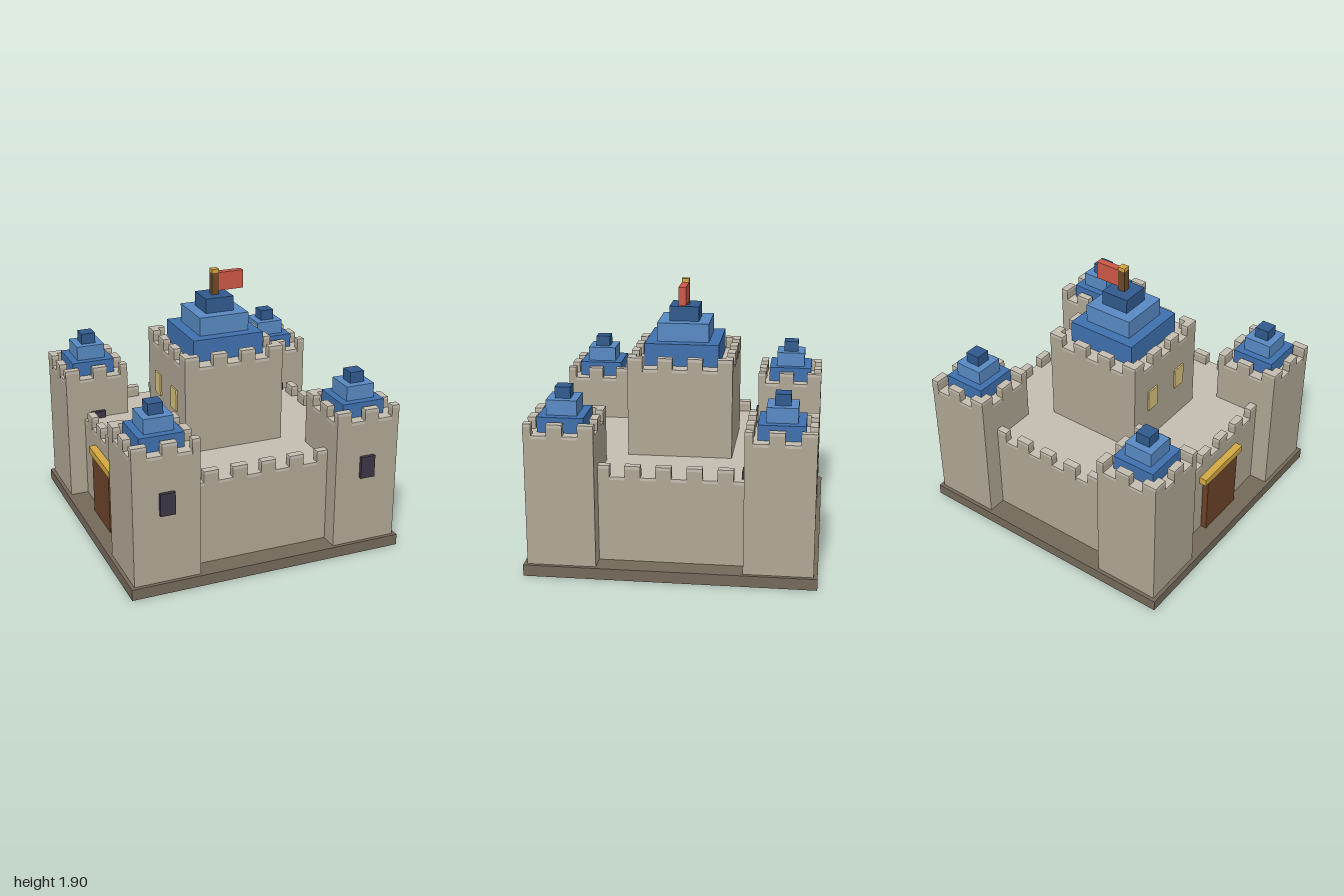
import * as THREE from 'three';

const U = 2 / 38; // building block size
const mats = {};
for (const [name, color] of Object.entries({
  earth: 0x746a5a, stone: 0xb0a794, cap: 0xc5bdb0, blue: 0x3f70ae, lightBlue: 0x588ac4,
  darkBlue: 0x305a8e, dark: 0x3d3644, wood: 0x6b4a2a, door: 0x6b4228, gold: 0xd4a843,
  red: 0xcc5848, glow: 0xd8c27c,
})) mats[name] = new THREE.MeshStandardMaterial({ color, flatShading: true });

// box given by its [min, max] range on each axis
function box(parent, name, mat, [x0, x1], [y0, y1], [z0, z1]) {
  const mesh = new THREE.Mesh(new THREE.BoxGeometry(x1 - x0, y1 - y0, z1 - z0), mats[mat]);
  mesh.position.set((x0 + x1) / 2, (y0 + y1) / 2, (z0 + z1) / 2);
  mesh.name = name;
  parent.add(mesh);
  return mesh;
}

function group(parent, name) {
  const g = new THREE.Group();
  g.name = name;
  parent.add(g);
  return g;
}

// square block of n units with a pale top course and merlons around the rim
function battlement(parent, name, cx, cz, n, y0, top) {
  const g = group(parent, name);
  const h = n * U / 2, t = 0.022, rise = 0.08, e = 0.001;
  const X = [cx - h, cx + h], Z = [cz - h, cz + h];
  box(g, 'body', 'stone', X, [y0, top - t], Z);
  box(g, 'topCourse', 'cap', X, [top - t, top], Z);
  const merlon = (x, z) => {
    const grow = ([a, b]) => [a - e, b + e];
    box(g, 'merlon', 'stone', grow(x), [top - t - e, top + rise - t], grow(z));
    box(g, 'merlonCap', 'cap', grow(x), [top + rise - t, top + rise], grow(z));
  };
  // two units solid, two units open, cut off at the far corner
  for (let i = 0; i < n; i += 4) {
    const a = i * U - h, b = Math.min(i + 2, n) * U - h;
    for (const edge of [-h, h - U]) {
      merlon([cx + a, cx + b], [cz + edge, cz + edge + U]);
      // side runs leave the corners to the front and back runs
      const s = Math.max(a, -h + U), f = Math.min(b, h - U);
      if (f - s > 0.01) merlon([cx + edge, cx + edge + U], [cz + s, cz + f]);
    }
  }
  return g;
}

// stepped roof: each step is [half width, bottom, top]
function roof(parent, cx, cz, steps) {
  const g = group(parent, 'steppedRoof');
  const colors = ['blue', 'lightBlue', 'darkBlue'];
  steps.forEach(([w, y0, y1], i) =>
    box(g, 'roofStep', colors[i], [cx - w, cx + w], [y0, y1], [cz - w, cz + w]));
}

export function createModel() {
  const castle = new THREE.Group();
  castle.name = 'castle';
  box(castle, 'base', 'earth', [-1, 1], [0, 0.08], [-1, 1]);

  // main block and keep
  battlement(castle, 'curtainWall', 0, 0, 32, 0.08, 0.687);
  const keep = battlement(castle, 'keep', 0, 0, 14, 0.687, 1.318);
  roof(keep, 0, 0, [[0.262, 1.318, 1.476], [0.184, 1.476, 1.608], [0.105, 1.608, 1.713]]);
  for (const z of [-0.16, 0.16])
    box(keep, 'keepWindow', 'glow', [-0.38, -0.36], [0.95, 1.11], [z - 0.053, z + 0.053]);

  // corner towers, each with a window on its front
  const c = 14 * U;
  for (const x of [-c, c]) for (const z of [-c, c]) {
    const tower = battlement(castle, 'cornerTower', x, z, 9, 0.08, 1.002);
    roof(tower, x, z, [[0.158, 1.002, 1.108], [0.105, 1.108, 1.213], [0.053, 1.213, 1.292]]);
    const front = z + 4.5 * U;
    box(tower, 'towerWindow', 'dark', [x - 0.053, x + 0.053], [0.58, 0.74], [front - 0.01, front + 0.026]);
  }

  // gate on the right side
  const gate = group(castle, 'gate');
  box(gate, 'door', 'door', [-0.887, -0.83], [0.08, 0.53], [-0.19, 0.19]);
  box(gate, 'lintel', 'gold', [-0.897, -0.83], [0.53, 0.583], [-0.237, 0.237]);

  // flag on the keep
  const flag = group(castle, 'flag');
  const p = U / 2;
  box(flag, 'pole', 'wood', [-p, p], [1.713, 1.871], [-p, p]);
  box(flag, 'finial', 'gold', [-p, p], [1.871, 1.897], [-p, p]);
  box(flag, 'banner', 'red', [p, 0.21], [1.74, 1.871], [-p, p]);
  return castle;
}
